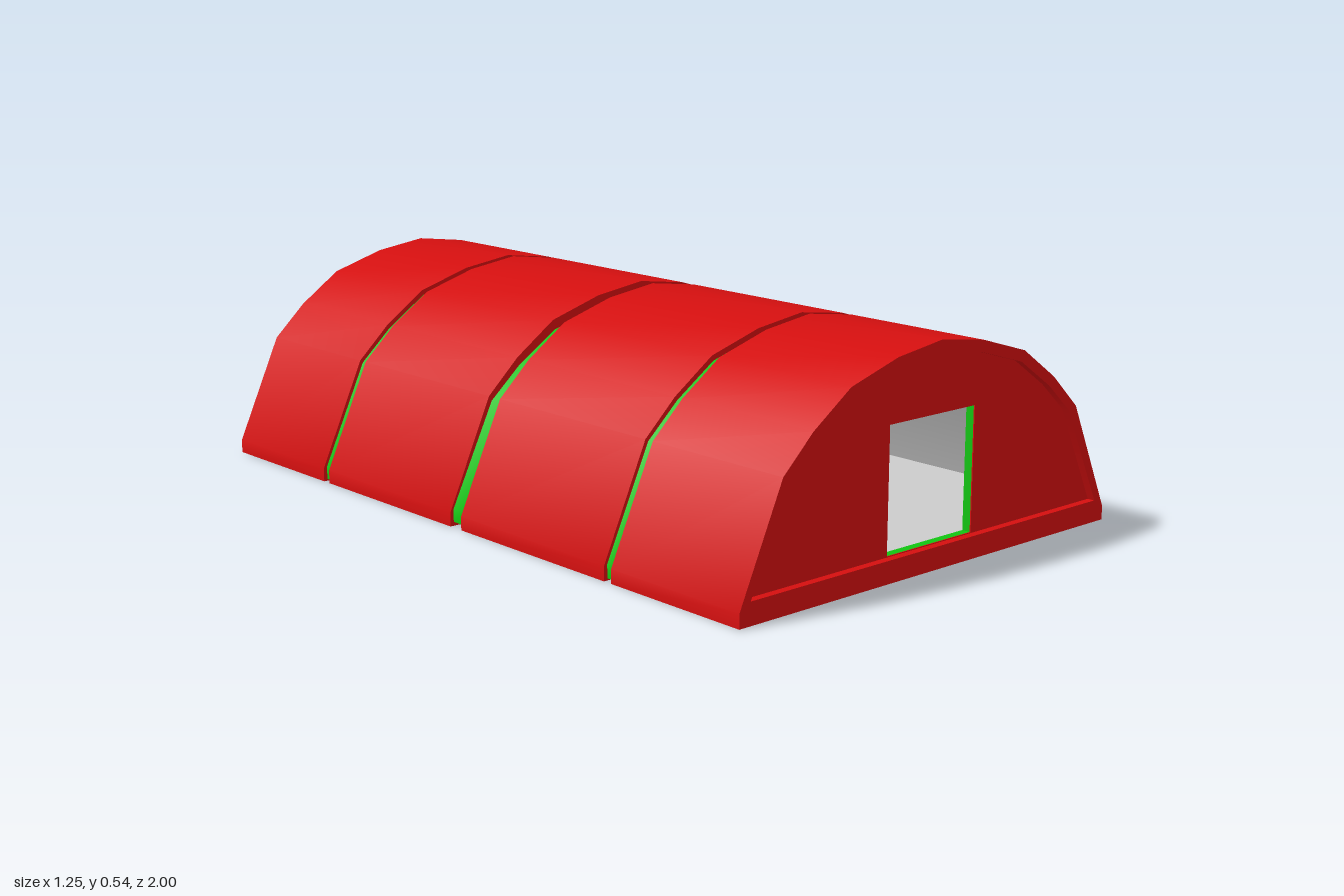
import * as THREE from 'three';
import { toCreasedNormals } from 'three/addons/utils/BufferGeometryUtils.js';

// Right halves of the arch profiles, from floor to crown
const OUTER = [[0.625, 0], [0.625, 0.035], [0.5, 0.31], [0.41, 0.395], [0.295, 0.475], [0.145, 0.52], [0, 0.54]];
const RECESS = [[0.592, 0.055], [0.473, 0.303], [0.392, 0.376], [0.285, 0.449], [0.14, 0.492], [0, 0.51]];
const VAULT = [[0.56, 0.045], [0.452, 0.286], [0.374, 0.357], [0.272, 0.427], [0.134, 0.468], [0, 0.485]];
const LINING = [[0.545, 0.056], [0.441, 0.28], [0.365, 0.349], [0.265, 0.418], [0.131, 0.459], [0, 0.475]];
const DOOR = [[0.145, 0.057], [0.145, 0.363]];

// Mirror a half profile into a closed outline
function outline(half) {
  const left = half.filter(p => p[0] > 0).reverse().map(([x, y]) => [-x, y]);
  return [...half, ...left].map(([x, y]) => new THREE.Vector2(x, y));
}

// Hollow prism running from z0 to z1
function prism(name, half, holeHalf, z0, z1, material) {
  const shape = new THREE.Shape(outline(half));
  shape.holes.push(new THREE.Path(outline(holeHalf)));
  const geo = new THREE.ExtrudeGeometry(shape, { depth: z1 - z0, bevelEnabled: false });
  geo.translate(0, 0, z0);
  const mesh = new THREE.Mesh(toCreasedNormals(geo, 0.6), material);
  mesh.name = name;
  return mesh;
}

// Outer profile shrunk to the bottom of a groove
function sunken(bottom, top) {
  return OUTER.map(([x, y]) => [x * 0.984, bottom + y * (top - bottom) / 0.54]);
}

export function createModel() {
  const group = new THREE.Group();
  group.name = 'archedTunnel';
  const red = new THREE.MeshStandardMaterial({ color: 0xd40f0f });
  red.name = 'red shell';
  const green = new THREE.MeshStandardMaterial({ color: 0x12c412 });
  green.name = 'green core';
  const grey = new THREE.MeshStandardMaterial({ color: 0xcccccc });
  grey.name = 'grey lining';

  // Four shell sections separated by grooves
  const sections = [[-1, -0.585], [-0.56, -0.022], [0.022, 0.56], [0.585, 1]];
  sections.forEach(([a, b], i) =>
    group.add(prism('shellSection' + (i + 1), OUTER, RECESS, a, b, red)));

  // Green bands at the bottom of the grooves
  for (const z of [-0.5725, 0.5725])
    group.add(prism('sideBand', sunken(0.005, 0.525), VAULT, z - 0.0125, z + 0.0125, green));
  group.add(prism('middleBand', sunken(0.01, 0.51), VAULT, -0.022, 0.022, green));

  // Interior lining
  group.add(prism('lining', VAULT, LINING, -0.955, 0.955, grey));

  // Recessed end walls with doorways: red face over green core
  for (const s of [1, -1]) {
    const wall = new THREE.Group();
    wall.name = s > 0 ? 'frontWall' : 'backWall';
    wall.add(prism('wallFace', RECESS, DOOR, 0.977, 0.98, red));
    wall.add(prism('wallCore', RECESS, DOOR, 0.955, 0.977, green));
    if (s < 0) wall.rotation.y = Math.PI;
    group.add(wall);
  }
  return group;
}
